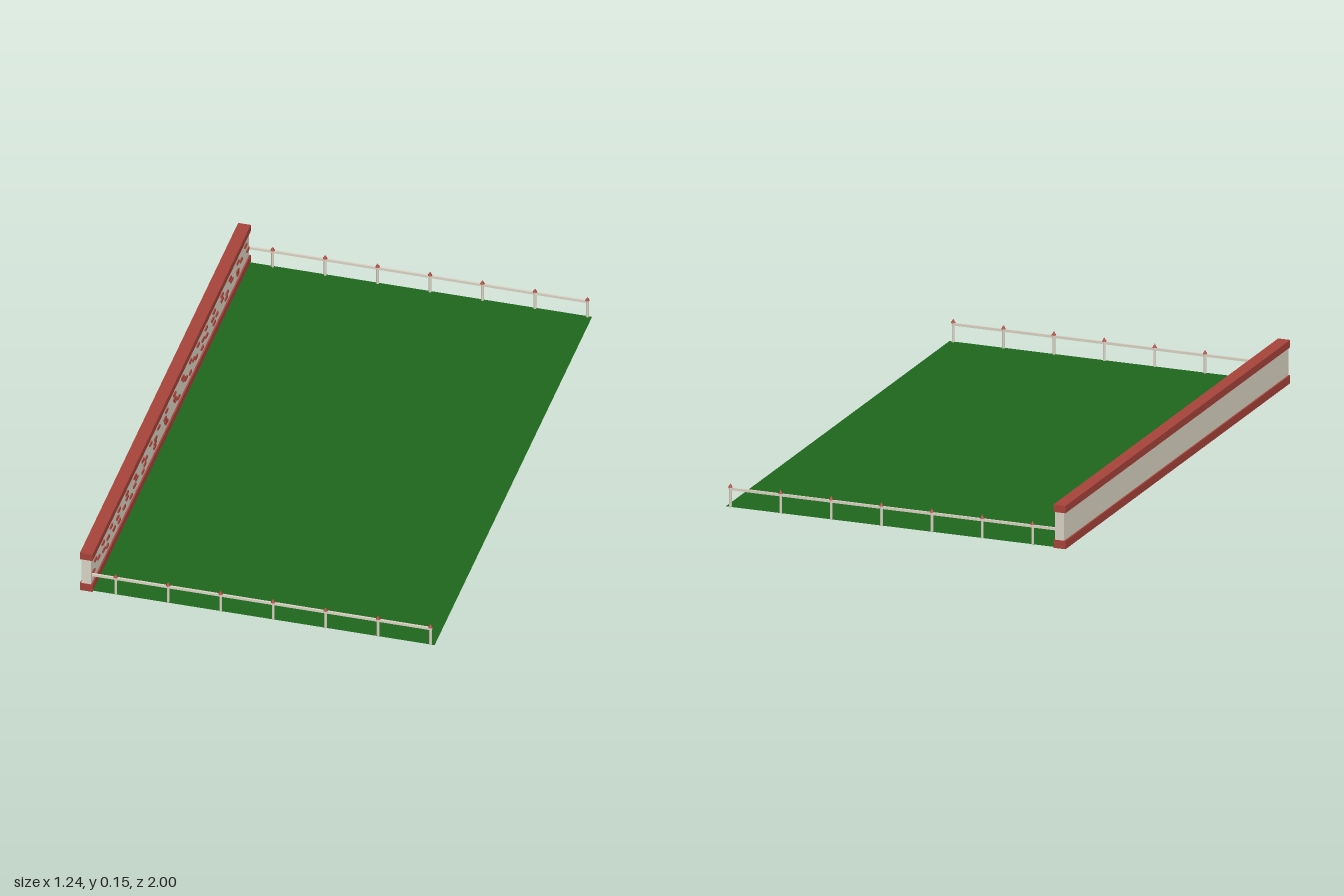
import * as THREE from 'three';

const mat = (color) => new THREE.MeshStandardMaterial({ color });

export function createModel() {
  const root = new THREE.Group();
  const red = mat(0xa8443a), cream = mat(0xdcd6c6), green = mat(0x1e681e);
  green.side = THREE.DoubleSide;

  const add = (parent, name, geometry, material, x, y, z) => {
    const mesh = new THREE.Mesh(geometry, material);
    mesh.name = name;
    mesh.position.set(x, y, z);
    parent.add(mesh);
    return mesh;
  };

  // Flat lawn
  const lawn = new THREE.PlaneGeometry(1.208, 1.99).rotateX(-Math.PI / 2);
  add(root, 'lawn', lawn, green, 0.014, 0.002, 0);

  // Long wall with base and coping
  const wall = new THREE.Group();
  wall.name = 'wall';
  root.add(wall);
  const wallX = -0.598;
  add(wall, 'wallBase', new THREE.BoxGeometry(0.044, 0.029, 2), red, wallX, 0.0145, 0);
  add(wall, 'wallPanel', new THREE.BoxGeometry(0.033, 0.1, 1.996), cream, wallX, 0.077, 0);
  add(wall, 'wallCoping', new THREE.BoxGeometry(0.044, 0.026, 2), red, wallX, 0.14, 0);

  // Rows of exposed bricks on the inner face
  const brick = new THREE.BoxGeometry(0.006, 0.009, 0.027);
  const rows = [
    { y: 0.1, step: 0.1, start: 0.95 },
    { y: 0.081, step: 0.12, start: 0.91 },
    { y: 0.067, step: 0.13, start: 0.975 },
    { y: 0.054, step: 0.15, start: 0.8 },
  ];
  for (const { y, step, start } of rows) {
    for (let z = start; z > -0.985; z -= step) add(wall, 'exposedBrick', brick, red, -0.58, y, z);
  }

  // A rail fence at each end: posts, pointed caps and one rail
  const post = new THREE.CylinderGeometry(0.005, 0.005, 0.07, 8);
  const cap = new THREE.ConeGeometry(0.008, 0.014, 8);
  const rail = new THREE.BoxGeometry(1.188, 0.009, 0.007);
  for (const side of [1, -1]) {
    const fence = new THREE.Group();
    fence.name = side > 0 ? 'frontFence' : 'backFence';
    fence.position.z = side * 0.991;
    root.add(fence);
    for (let i = 0; i < 7; i++) {
      const x = -0.497 + i * 0.1833;
      add(fence, 'post', post, cream, x, 0.035, 0);
      add(fence, 'postCap', cap, red, x, 0.077, 0);
    }
    add(fence, 'rail', rail, cream, 0.014, 0.065, 0);
  }

  return root;
}
